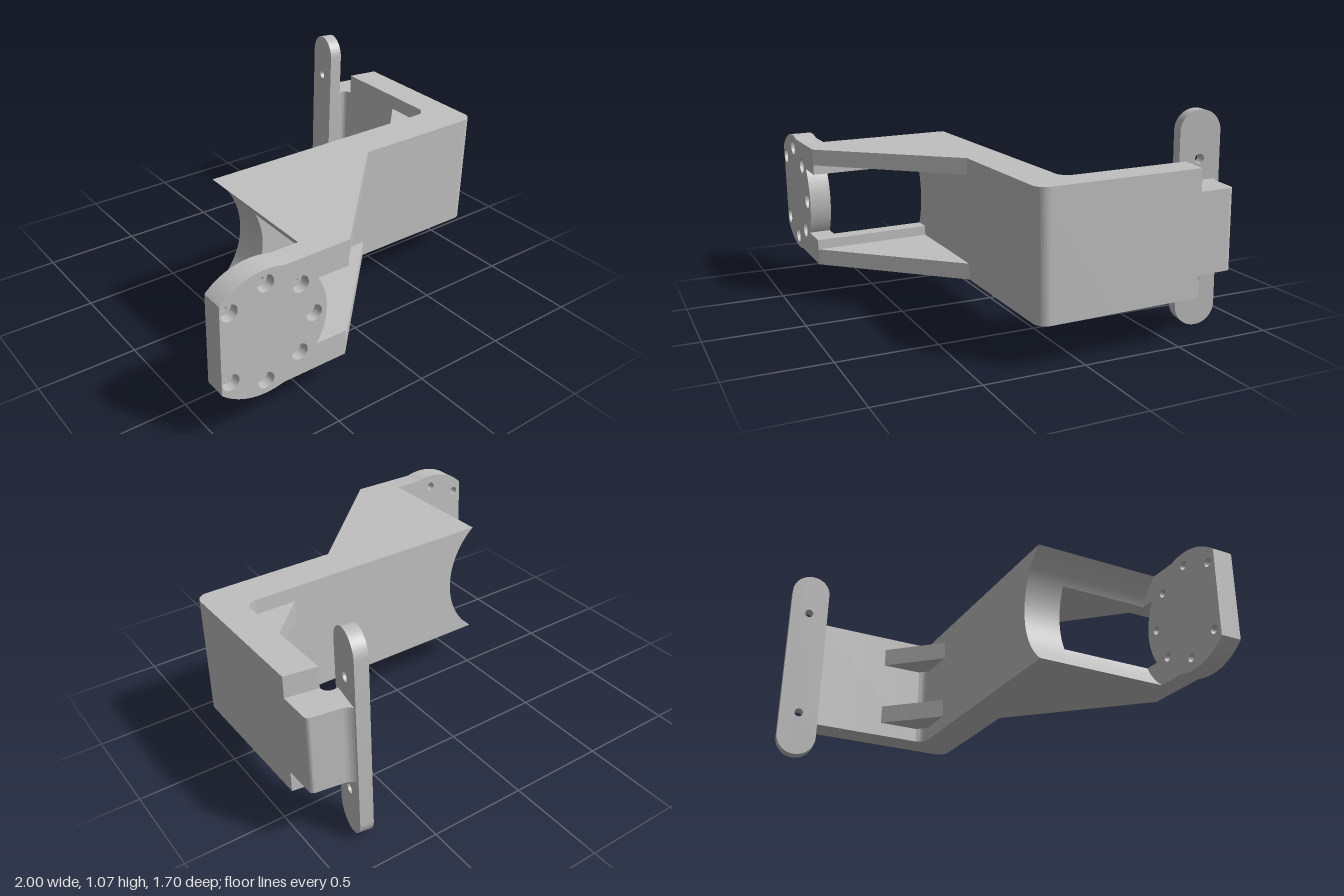
import * as THREE from 'three';
import { toCreasedNormals } from 'three/addons/utils/BufferGeometryUtils.js';

export function createModel() {
  const grey = new THREE.MeshStandardMaterial({ color: 0xc0c0c0 });
  grey.name = 'grey';
  const model = new THREE.Group();
  model.name = 'bracket';
  // slight lean of the whole bracket about the x axis
  const body = new THREE.Group();
  body.name = 'bracketBody';
  body.position.y = 0.522;
  body.rotation.x = 0.0175;
  model.add(body);

  const H = 0.307;        // half height of the arm
  const CX = -0.775;      // centre of the round mounting plate
  const CUT = 0.39;       // radius of the clearance cut around it
  const TAB = 0.175;      // inner edge of the thick flange strips

  const add = (name, geo) => {
    const mesh = new THREE.Mesh(toCreasedNormals(geo, 0.5), grey);
    mesh.name = name;
    body.add(mesh);
    return mesh;
  };
  const poly = (pts) => new THREE.Shape(pts.map(([x, y]) => new THREE.Vector2(x, y)));
  const extrude = (shape, depth) =>
    new THREE.ExtrudeGeometry(shape, { depth, bevelEnabled: false, curveSegments: 24 });
  // front outline (x, y) pushed from z0 to z1
  const slabZ = (name, shape, z0, z1) => add(name, extrude(shape, z1 - z0).translate(0, 0, z0));
  // plan outline (x, -z) raised from y0 to y1
  const slabY = (name, shape, y0, y1) =>
    add(name, extrude(shape, y1 - y0).rotateX(-Math.PI / 2).translate(0, y0, 0));
  const hole = (shape, x, y, r) => {
    const p = new THREE.Path();
    p.absarc(x, y, r, 0, Math.PI * 2, true);
    shape.holes.push(p);
  };

  // main web with a concave left end
  const cutAngle = Math.asin(H / CUT);
  const web = new THREE.Shape();
  web.absarc(CX, 0, CUT, cutAngle, -cutAngle, true);
  web.lineTo(0, -H);
  web.lineTo(0, H);
  slabZ('mainWeb', web, 0.04, 0.24);

  // elbow: the web turns a rounded corner and runs backwards
  const elbow = new THREE.Shape();
  elbow.absarc(0.78, 0.02, 0.06, -Math.PI / 2, 0, false);
  elbow.lineTo(0.84, 0.615);
  elbow.lineTo(1, 0.59);
  elbow.absarc(0.94, -0.18, 0.06, 0, -Math.PI / 2, true);
  elbow.lineTo(0, -0.24);
  elbow.lineTo(0, -0.04);
  slabY('elbowArm', elbow, -H, H);

  // upper and lower flanges, and the gussets inside the elbow
  for (const s of [1, -1]) {
    const side = s > 0 ? 'upper' : 'lower';
    const strip = new THREE.Shape();
    strip.absarc(CX, 0, CUT, s * cutAngle, s * Math.asin(TAB / CUT), s > 0);
    strip.lineTo(-0.34, s * TAB);
    strip.lineTo(-0.34, s * H);
    slabZ(side + 'FlangeStrip', strip, 0.04, 0.735);

    const wedge = poly([[-0.34, -0.24], [-0.34, -0.84], [0.26, -0.24]]);
    slabY(side + 'FlangeWedge', wedge, Math.min(s * 0.225, s * H), Math.max(s * 0.225, s * H));

    const gusset = poly([[0.575, -0.04], [0.78, -0.05], [0.85, 0.02], [0.84, 0.23]]);
    slabY(side + 'Gusset', gusset, s * 0.18 - 0.05, s * 0.18 + 0.05);
  }

  // round mounting plate with a flat left side and two tabs
  const R = 0.32;
  const flat = Math.acos((1 + CX) / R);
  const top = Math.asin(H / R), inner = Math.asin(TAB / R);
  const plateShape = (holeRadius) => {
    const s = new THREE.Shape();
    s.absarc(CX, 0, R, -inner, inner, false);
    s.lineTo(-0.34, TAB);
    s.lineTo(-0.34, H);
    s.absarc(CX, 0, R, top, Math.PI - flat, false);
    s.absarc(CX, 0, R, Math.PI + flat, Math.PI * 2 - top, false);
    s.lineTo(-0.34, -H);
    s.lineTo(-0.34, -TAB);
    for (let i = -3; i <= 3; i++) {
      const a = i * Math.PI / 4;
      hole(s, CX + 0.252 * Math.cos(a), 0.252 * Math.sin(a), holeRadius);
    }
    return s;
  };
  slabZ('mountingPlateBack', plateShape(0.023), 0.73, 0.79);
  slabZ('mountingPlateCounterbored', plateShape(0.041), 0.79, 0.84);

  // narrower neck leading to the end plate
  const neck = new THREE.Shape();
  neck.moveTo(0.85, 0.605);
  neck.lineTo(1, 0.585);
  neck.lineTo(1, 0.745);
  neck.quadraticCurveTo(1, 0.768, 0.98, 0.771);
  neck.lineTo(0.845, 0.792);
  neck.quadraticCurveTo(0.815, 0.797, 0.798, 0.825);
  neck.lineTo(0.77, 0.655);
  neck.quadraticCurveTo(0.835, 0.67, 0.84, 0.615);
  slabY('neck', neck, -0.198, 0.198);

  // upright end plate with round ends and two holes
  const r = 0.104, straight = 0.535 - r, thick = 0.066;
  const end = new THREE.Shape();
  end.absarc(0, straight, r, 0, Math.PI, false);
  end.absarc(0, -straight, r, Math.PI, Math.PI * 2, false);
  for (const s of [1, -1]) hole(end, 0, s * 0.3, 0.023);
  const endPlate = add('endPlate', extrude(end, thick).translate(0, 0, -thick / 2));
  endPlate.position.set(0.755, 0, -0.739);
  endPlate.rotation.y = Math.PI / 2 - 0.165;

  return model;
}
